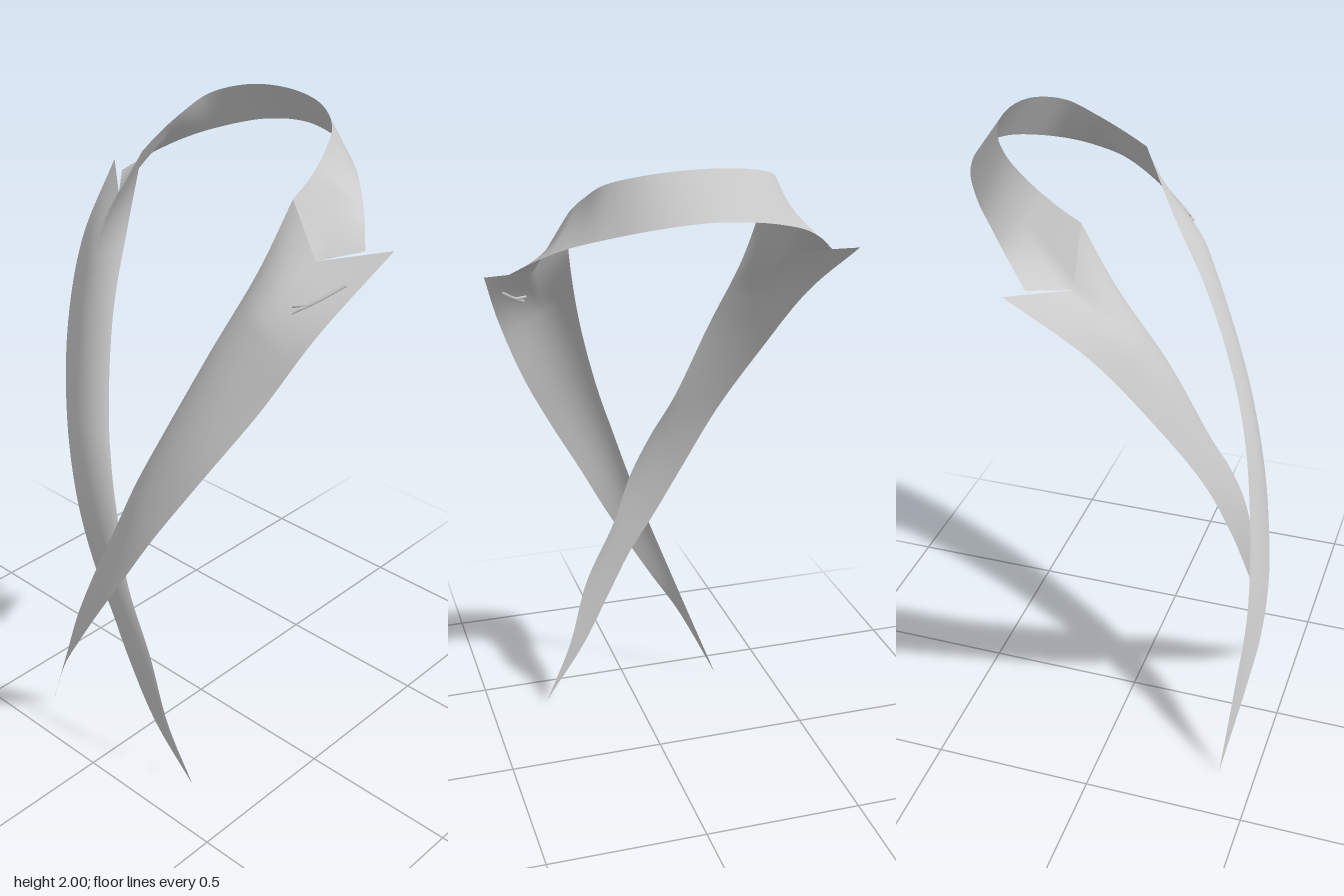
import * as THREE from 'three';

const V = (p) => new THREE.Vector3(...p);
const rail = (pts) => new THREE.CatmullRomCurve3(pts.map(V), false, 'centripetal');
const mirror = (pts) => pts.map(([x, y, z]) => [-x, y, z]);

const cloth = new THREE.MeshStandardMaterial({ color: 0xcccccc, side: THREE.DoubleSide });

// Shared notch points: where gorge seam begins, the notch corner and the two tips
const FOLD = [0.29, 1.82, -0.055];
const NOTCH = [0.385, 1.67, -0.045];
const LAPEL_TIP = [0.545, 1.705, -0.18];
const COLLAR_TIP = [0.475, 1.695, -0.145];

// Offset that pulls a straight end edge into the notch corner at fraction c
function notchOffset(tip, c, side) {
  const off = V(NOTCH).sub(V(FOLD).lerp(V(tip), c));
  off.x *= side;
  return (s) => off.clone().multiplyScalar(s < c ? s / c : (1 - s) / (1 - c));
}

// Smooth sheet from a surface function point(s, t)
function sheet(name, point, cols, rows, flip) {
  const pos = [], idx = [];
  for (let j = 0; j <= rows; j++)
    for (let i = 0; i <= cols; i++) pos.push(...point(i / cols, j / rows).toArray());
  for (let j = 0; j < rows; j++)
    for (let i = 0; i < cols; i++) {
      const a = j * (cols + 1) + i, b = a + 1, c = a + cols + 1, d = c + 1;
      if (flip) idx.push(a, b, c, b, d, c);
      else idx.push(a, c, b, b, c, d);
    }
  const g = new THREE.BufferGeometry();
  g.setAttribute('position', new THREE.Float32BufferAttribute(pos, 3));
  g.setIndex(idx);
  g.computeVertexNormals();
  const mesh = new THREE.Mesh(g, cloth);
  mesh.name = name;
  return mesh;
}

// Lapel surface: spans the roll edge and the free edge with a soft outward belly
function lapelSurface(inner, outer, side) {
  const a = rail(inner), b = rail(outer);
  const notch = notchOffset(LAPEL_TIP, 0.4, side);
  return (s, t) => {
    const p = a.getPoint(t), q = b.getPoint(t);
    const across = q.clone().sub(p);
    const out = a.getTangent(t).cross(across).normalize();
    if (out.z < 0) out.negate();
    const belly = 0.17 * across.length() * Math.min(1, t / 0.15) * (1 - t);
    const shape = Math.sin(Math.PI * Math.pow(s, 0.8));
    return p.addScaledVector(across, s)
      .addScaledVector(out, belly * shape)
      .addScaledVector(notch(s), Math.max(0, 1 - t / 0.16));
  };
}

export function createModel() {
  const model = new THREE.Group();
  model.name = 'jacketCollar';

  // Left lapel, lying over the right one
  const left = lapelSurface(
    [FOLD, [0.255, 1.63, 0.04], [0.2, 1.42, 0.165], [0.125, 1.18, 0.275], [0.06, 1, 0.335],
      [0, 0.83, 0.37], [-0.07, 0.65, 0.397], [-0.14, 0.47, 0.41], [-0.22, 0.26, 0.4], [-0.32, 0, 0.385]],
    [LAPEL_TIP, [0.47, 1.5, 0.045], [0.385, 1.29, 0.17], [0.28, 1.08, 0.29], [0.165, 0.87, 0.375],
      [0.075, 0.7, 0.42], [-0.01, 0.55, 0.447], [-0.1, 0.4, 0.45], [-0.195, 0.25, 0.43], [-0.32, 0, 0.385]], 1);
  model.add(sheet('leftLapel', left, 20, 72, false));

  // Right lapel, passing underneath
  const right = lapelSurface(
    [...mirror([FOLD]), [-0.262, 1.63, 0.035], [-0.205, 1.4, 0.16], [-0.125, 1.13, 0.265], [-0.06, 0.98, 0.32],
      [0, 0.83, 0.355], [0.055, 0.65, 0.375], [0.15, 0.44, 0.382], [0.215, 0.21, 0.375], [0.305, 0.01, 0.36]],
    [...mirror([LAPEL_TIP]), [-0.475, 1.52, 0.03], [-0.39, 1.3, 0.18], [-0.28, 1.06, 0.295], [-0.18, 0.84, 0.355],
      [-0.085, 0.66, 0.38], [-0.005, 0.53, 0.388], [0.06, 0.4, 0.39], [0.165, 0.2, 0.382], [0.305, 0.01, 0.36]], -1);
  model.add(sheet('rightLapel', right, 20, 72, true));

  // Collar fall around the neck, from one notch to the other
  const foldHalf = [FOLD, [0.288, 1.86, -0.125], [0.272, 1.905, -0.2], [0.235, 1.955, -0.28], [0.14, 1.988, -0.345]];
  const edgeHalf = [COLLAR_TIP, [0.41, 1.75, -0.22], [0.34, 1.795, -0.29], [0.26, 1.83, -0.36], [0.14, 1.865, -0.43]];
  const fold = rail([...foldHalf, [0, 2, -0.367], ...mirror(foldHalf).reverse()]);
  const edge = rail([...edgeHalf, [0, 1.88, -0.455], ...mirror(edgeHalf).reverse()]);
  const notchL = notchOffset(COLLAR_TIP, 0.5, 1), notchR = notchOffset(COLLAR_TIP, 0.5, -1);
  const collar = (s, t) => {
    const fade = Math.max(0, 1 - Math.min(t, 1 - t) / 0.14);
    return fold.getPoint(t).lerp(edge.getPoint(t), s)
      .addScaledVector((t < 0.5 ? notchL : notchR)(s), fade);
  };
  model.add(sheet('collar', collar, 12, 96, true));

  // Buttonhole stitching on the left lapel
  const stitches = new THREE.Group();
  stitches.name = 'buttonholeStitching';
  for (const [s0, t0, s1, t1] of [[0.85, 0.045, 0.6, 0.1], [0.55, 0.09, 0.69, 0.08]]) {
    const pts = [0, 0.5, 1].map((k) => left(s0 + (s1 - s0) * k, t0 + (t1 - t0) * k));
    const bar = new THREE.Mesh(
      new THREE.TubeGeometry(new THREE.CatmullRomCurve3(pts), 10, 0.006, 6), cloth);
    bar.name = 'stitchBar';
    stitches.add(bar);
  }
  model.add(stitches);

  return model;
}
